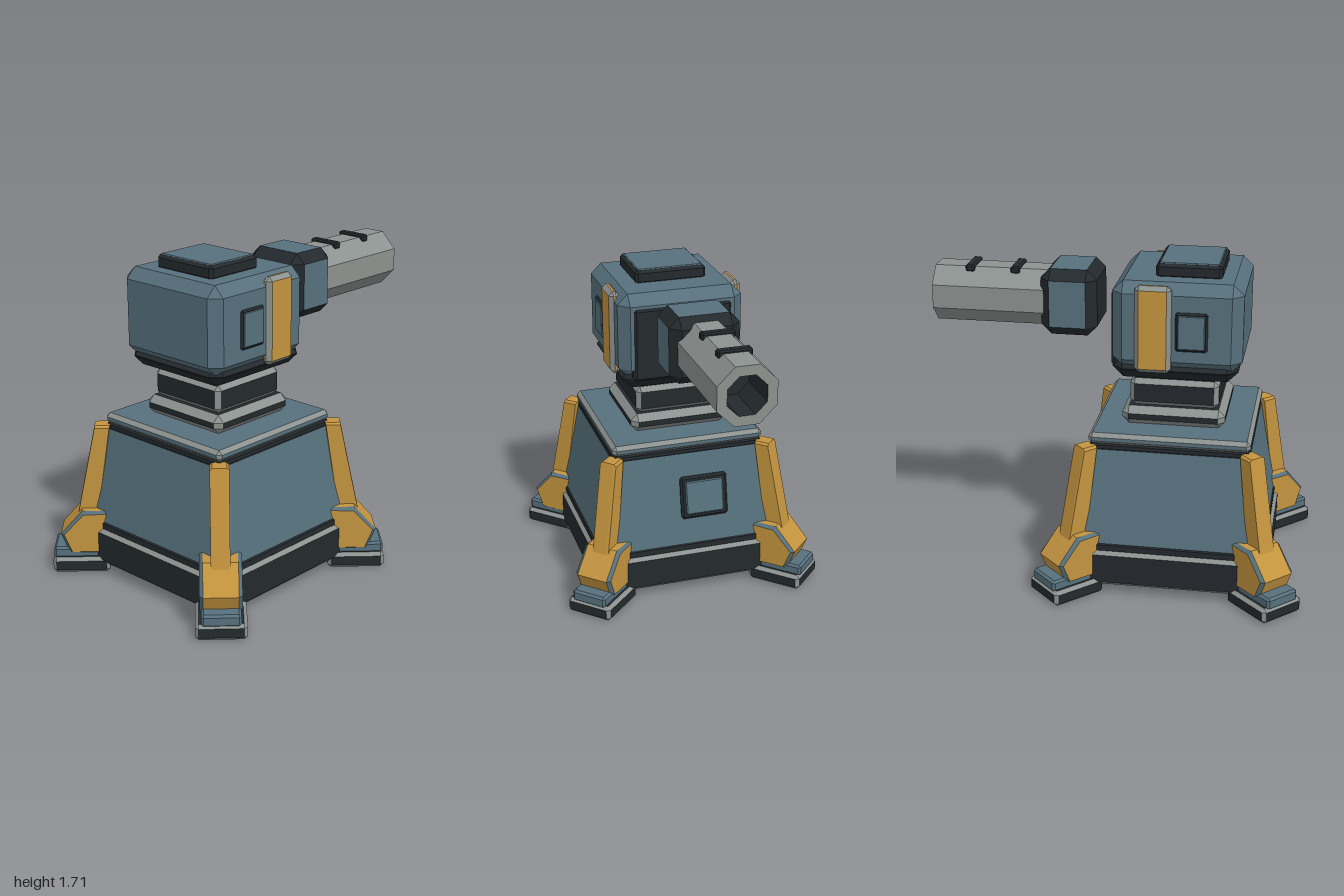
import * as THREE from 'three';
import { ConvexGeometry } from 'three/addons/geometries/ConvexGeometry.js';

const paint = (color) => new THREE.MeshStandardMaterial({ color, flatShading: true });
const BLUE = paint(0x56707c), ORANGE = paint(0xc4943f), DARK = paint(0x23292d), GREY = paint(0x8c928f);
const CX = -0.285; // vertical axis of the base

const V = (x, y, z) => new THREE.Vector3(x, y, z);

// Hull of points, painted face by face with pick(normal)
function hull(name, points, pick) {
  const pos = new ConvexGeometry(points).getAttribute('position');
  const byMat = new Map();
  for (let i = 0; i < pos.count; i += 3) {
    const t = [0, 1, 2].map((k) => new THREE.Vector3().fromBufferAttribute(pos, i + k));
    const n = new THREE.Triangle(...t).getNormal(V(0, 0, 0));
    const mat = pick(n);
    if (!byMat.has(mat)) byMat.set(mat, []);
    t.forEach((p) => byMat.get(mat).push(p.x, p.y, p.z));
  }
  const group = new THREE.Group();
  group.name = name;
  for (const [mat, list] of byMat) {
    const geo = new THREE.BufferGeometry();
    geo.setAttribute('position', new THREE.Float32BufferAttribute(list, 3));
    geo.computeVertexNormals();
    const mesh = new THREE.Mesh(geo, mat);
    mesh.name = name;
    group.add(mesh);
  }
  return group;
}

const isMain = (n) => Math.max(Math.abs(n.x), Math.abs(n.y), Math.abs(n.z)) > 0.95;

// Chamfered box between two corners; top can be narrowed about its centre
function block(name, [x0, x1], [y0, y1], [z0, z1], c, main, trim = main, taper = 1, pick) {
  const h = [(x1 - x0) / 2, (y1 - y0) / 2, (z1 - z0) / 2];
  const pts = [];
  for (const sx of [-1, 1]) for (const sy of [-1, 1]) for (const sz of [-1, 1])
    for (let axis = 0; axis < 3; axis++) {
      const [x, y, z] = h.map((v, i) => (i === axis ? v : v - c));
      const k = 1 + (taper - 1) * (sy * y / h[1] + 1) / 2;
      pts.push(V(sx * x * k, sy * y, sz * z * k));
    }
  const g = hull(name, pts, pick || ((n) => (isMain(n) ? main : trim)));
  g.position.set((x0 + x1) / 2, (y0 + y1) / 2, (z0 + z1) / 2);
  return g;
}

// Square block centred on the base axis
const tier = (name, half, y, c, main, trim, taper) =>
  block(name, [CX - half, CX + half], y, [-half, half], c, main, trim, taper);

// Side profile (radial, y) given thickness, with bevelled rims
function slab(name, profile, width, c, main, trim) {
  const mx = profile.reduce((s, p) => s + p[0], 0) / profile.length;
  const my = profile.reduce((s, p) => s + p[1], 0) / profile.length;
  const pts = [];
  for (const s of [-1, 1]) for (const [x, y] of profile) {
    const d = Math.hypot(x - mx, y - my), k = 1 - c / d;
    pts.push(V(x, y, s * (width / 2 - c)), V(mx + (x - mx) * k, my + (y - my) * k, s * width / 2));
  }
  return hull(name, pts, (n) => (Math.abs(n.z) > 0.15 && Math.abs(n.z) < 0.95 ? trim : main));
}

function createLeg() {
  const leg = new THREE.Group();
  leg.name = 'leg';
  leg.add(
    block('footPad', [0.58, 0.88], [0, 0.085], [-0.128, 0.128], 0.018, DARK, GREY),
    block('footStep', [0.6, 0.875], [0.07, 0.135], [-0.098, 0.098], 0.012, BLUE),
    slab('ankle', [[0.5, 0.34], [0.72, 0.34], [0.835, 0.21], [0.79, 0.1], [0.5, 0.1]], 0.21, 0.018, ORANGE, BLUE),
    slab('strut', [[0.64, 0.28], [0.75, 0.28], [0.64, 0.8], [0.56, 0.8]], 0.095, 0.012, ORANGE, ORANGE),
  );
  return leg;
}

function createBase() {
  const base = new THREE.Group();
  base.name = 'base';
  base.add(
    tier('plinth', 0.525, [0.05, 0.245], 0.02, DARK, GREY),
    tier('lowerSeam', 0.507, [0.235, 0.285], 0.01, DARK),
    tier('slopedBody', 0.505, [0.255, 0.79], 0.015, BLUE, DARK, 0.81),
    tier('upperSeam', 0.41, [0.77, 0.805], 0.008, DARK),
    tier('topPlate', 0.415, [0.8, 0.86], 0.02, BLUE, GREY),
    tier('collar', 0.267, [0.858, 0.957], 0.035, DARK, GREY),
    tier('neck', 0.23, [0.955, 1.1], 0.025, DARK, GREY),
  );
  // hatch lying on the sloped right-hand wall
  const hatch = new THREE.Group();
  hatch.name = 'hatch';
  hatch.add(
    block('hatchFrame', [-0.02, 0.018], [-0.117, 0.117], [-0.13, 0.13], 0.012, DARK),
    block('hatchPanel', [0, 0.026], [-0.092, 0.092], [-0.105, 0.105], 0.006, BLUE),
  );
  hatch.position.set(CX + 0.44, 0.535, -0.07);
  hatch.position.x = CX + 0.505 - 0.096 * (0.535 - 0.255) / 0.535;
  hatch.rotation.z = Math.atan2(0.096, 0.535);
  base.add(hatch);
  // four diagonal legs
  for (let i = 0; i < 4; i++) {
    const leg = createLeg();
    leg.position.x = CX;
    leg.rotation.y = Math.PI / 4 + i * Math.PI / 2;
    base.add(leg);
  }
  return base;
}

function createHead() {
  const head = new THREE.Group();
  head.name = 'head';
  head.add(
    block('headShell', [-0.635, 0.025], [1.185, 1.64], [-0.335, 0.335], 0.055, BLUE),
    block('headUnderside', [-0.615, 0.028], [1.125, 1.24], [-0.318, 0.318], 0.055, DARK),
    block('headFace', [-0.03, 0.035], [1.17, 1.578], [-0.27, 0.27], 0.02, DARK),
    block('roofSeam', [-0.515, -0.18], [1.63, 1.705], [-0.192, 0.192], 0.015, DARK),
    block('roofPlate', [-0.5, -0.195], [1.66, 1.709], [-0.177, 0.177], 0.005, BLUE),
  );
  // bands and panels on both cheeks
  for (const s of [-1, 1]) {
    const span = (a, b) => (s > 0 ? [a, b] : [-b, -a]);
    head.add(
      block('cheekBand', [-0.28, -0.095], [1.18, 1.632], span(0.3, 0.357), 0.022, ORANGE, GREY),
      block('cheekFrame', [-0.463, -0.3], [1.3, 1.502], span(0.31, 0.346), 0.01, DARK),
      block('cheekPanel', [-0.45, -0.313], [1.313, 1.489], span(0.32, 0.35), 0.004, BLUE),
    );
  }
  return head;
}

function createGun() {
  const gun = new THREE.Group();
  gun.name = 'gun';
  const y = 1.463;
  gun.add(block('mantlet', [0.13, 0.425], [y - 0.175, y + 0.175], [-0.183, 0.183], 0.052, BLUE, DARK, 1,
    (n) => (isMain(n) && Math.abs(n.x) < 0.5 ? BLUE : DARK)));
  // eight-sided tube with an open muzzle
  const lathe = (name, profile, mat) => {
    const geo = new THREE.LatheGeometry(profile.map((p) => new THREE.Vector2(...p)), 8, Math.PI / 8);
    const mesh = new THREE.Mesh(geo, mat);
    mesh.name = name;
    mesh.rotation.z = -Math.PI / 2;
    mesh.position.y = y;
    gun.add(mesh);
  };
  lathe('barrel', [[0, 0.36], [0.16, 0.36], [0.16, 1], [0.106, 1]], GREY);
  lathe('bore', [[0.106, 1], [0.106, 0.75], [0, 0.75]], DARK);
  for (const x of [0.57, 0.81])
    gun.add(block('barrelClip', [x - 0.024, x + 0.024], [1.585, 1.625], [-0.087, 0.087], 0.008, DARK));
  return gun;
}

export function createModel() {
  const model = new THREE.Group();
  model.name = 'turret';
  model.add(createBase(), createHead(), createGun());
  return model;
}
